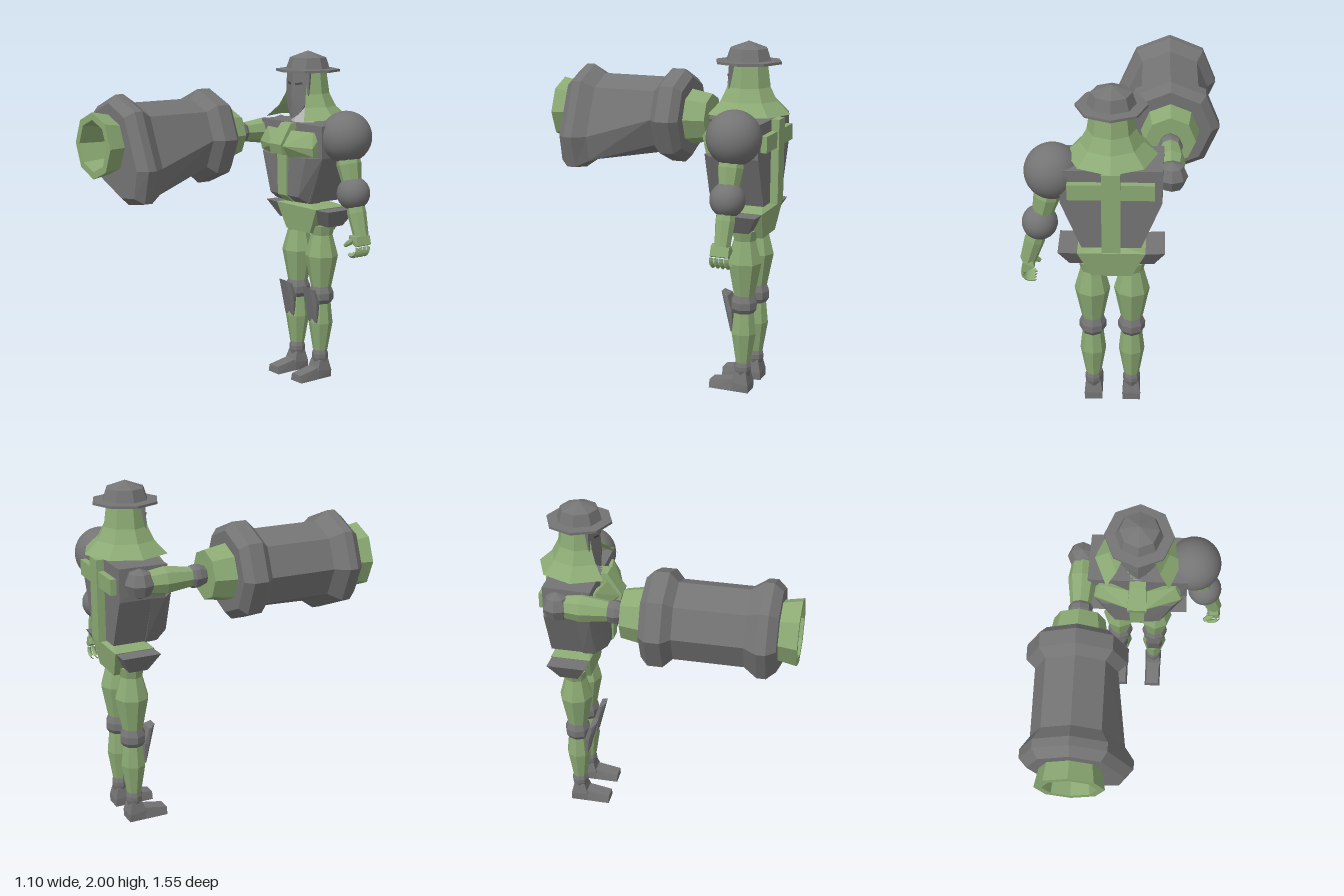
import * as THREE from 'three';
import { ConvexGeometry } from 'three/addons/geometries/ConvexGeometry.js';

const flat = (color, side = THREE.FrontSide) =>
  new THREE.MeshStandardMaterial({ color, flatShading: true, side });
const GREEN = flat(0x8caa74), CLOTH = flat(0x8caa74, THREE.DoubleSide);
const DARK = flat(0x747474), LIGHT = flat(0xcccccc), SLIT = flat(0x4a4a4a);
const SMOOTH = new THREE.MeshStandardMaterial({ color: 0x747474 });
const UP = new THREE.Vector3(0, 1, 0);

function add(parent, name, geometry, material, pos = [0, 0, 0]) {
  const mesh = new THREE.Mesh(geometry, material);
  mesh.name = name;
  mesh.position.set(...pos);
  parent.add(mesh);
  return mesh;
}

// Eight-sided solid of revolution, profile of [radius, height] going upward
const turned = (profile, start = 0, arc = Math.PI * 2, n = 8) =>
  new THREE.LatheGeometry(profile.map(p => new THREE.Vector2(...p)), n, start, arc);

// Turned part between two points, profile of [radius, fraction of the length]
function limb(parent, name, from, to, profile, material) {
  const a = new THREE.Vector3(...from), dir = new THREE.Vector3(...to).sub(a);
  const len = dir.length();
  const closed = [[0, profile[0][1]], ...profile, [0, profile.at(-1)[1]]];
  const mesh = add(parent, name, turned(closed.map(([r, t]) => [r, t * len])), material, from);
  mesh.quaternion.setFromUnitVectors(UP, dir.normalize());
  return mesh;
}

// Convex part from its corners; mirrored corners are added when sym is true
function hull(parent, name, corners, material, sym = false) {
  const pts = corners.map(c => new THREE.Vector3(...c));
  if (sym) corners.forEach(([x, y, z]) => x && pts.push(new THREE.Vector3(-x, y, z)));
  return add(parent, name, new ConvexGeometry(pts), material);
}

function buildHead(body) {
  const head = new THREE.Group();
  head.name = 'head';
  body.add(head);
  const z = -0.535;
  add(head, 'helmet', turned([[0, 1.878], [0.19, 1.878], [0.19, 1.892], [0.13, 1.895],
    [0.108, 1.96], [0, 2]]), DARK, [0, 0, z]);
  // Neck cloth, open at the front
  add(head, 'neckCloth', turned([[0.245, 1.605], [0.17, 1.675], [0.13, 1.75], [0.11, 1.885]],
    Math.PI / 4, Math.PI * 1.5, 6), CLOTH, [0, 0, z]);
  add(head, 'neck', turned([[0, 1.56], [0.082, 1.56], [0.082, 1.7], [0, 1.7]]), LIGHT, [0, 0, -0.52]);
  hull(head, 'faceMask', [[0.105, 1.885, -0.46], [0.103, 1.72, -0.455], [0.045, 1.63, -0.43],
    [0, 1.885, -0.42], [0, 1.72, -0.41], [0, 1.6, -0.415], [0.08, 1.885, -0.5], [0.08, 1.72, -0.5]], DARK, true);
  for (const s of [-1, 1]) {
    const eye = add(head, 'eyeSlit', new THREE.BoxGeometry(0.045, 0.012, 0.02), SLIT, [s * 0.04, 1.81, -0.436]);
    eye.rotation.set(0, s * 0.38, s * 0.15);
  }
}

function buildTorso(body) {
  const torso = new THREE.Group();
  torso.name = 'torso';
  body.add(torso);
  hull(torso, 'ribcage', [[0.28, 1.58, -0.41], [0.27, 1.58, -0.69], [0.27, 1.39, -0.42],
    [0.27, 1.39, -0.69], [0.16, 1.11, -0.42], [0.16, 1.11, -0.69]], DARK, true);
  hull(torso, 'chestStrap', [[0.045, 1.58, -0.37], [0.055, 1.46, -0.285], [0.055, 1.4, -0.3],
    [0.045, 1.58, -0.45], [0.045, 1.38, -0.45]], GREEN, true);
  hull(torso, 'bellyStrap', [[0.045, 1.42, -0.34], [0.04, 1.15, -0.345], [0.04, 1.106, -0.4],
    [0.045, 1.42, -0.45], [0.04, 1.106, -0.45]], GREEN, true);
  for (const s of [-1, 1]) {
    hull(torso, 'chestPlate', [[s * 0.05, 1.54, -0.37], [s * 0.05, 1.45, -0.3], [s * 0.05, 1.38, -0.35],
      [s * 0.05, 1.4, -0.45], [s * 0.21, 1.54, -0.4], [s * 0.245, 1.45, -0.37], [s * 0.24, 1.4, -0.38],
      [s * 0.23, 1.4, -0.45], [s * 0.23, 1.53, -0.45]], GREEN);
    hull(torso, 'bellyPlate', [[s * 0.045, 1.38, -0.355], [s * 0.2, 1.39, -0.355], [s * 0.275, 1.39, -0.42],
      [s * 0.045, 1.39, -0.45], [s * 0.27, 1.39, -0.5], [s * 0.04, 1.15, -0.355], [s * 0.13, 1.15, -0.36],
      [s * 0.04, 1.106, -0.41], [s * 0.16, 1.106, -0.43], [s * 0.165, 1.106, -0.5], [s * 0.04, 1.106, -0.5]], DARK);
  }
  // Raised cross on the back
  add(torso, 'backStrap', new THREE.BoxGeometry(0.1, 0.475, 0.06), GREEN, [0, 1.3425, -0.705]);
  add(torso, 'backBand', new THREE.BoxGeometry(0.46, 0.09, 0.05), GREEN, [0, 1.47, -0.7]);
}

function buildHips(body) {
  const hips = new THREE.Group();
  hips.name = 'hips';
  hips.position.z = -0.572;
  body.add(hips);
  const both = pts => pts.flatMap(([x, y, z]) => [[x, y, z], [x, y, -z]]);
  hull(hips, 'pelvis', both([[0.185, 1.07, 0.117], [0, 1.1, 0.06], [0.11, 0.915, 0.1]]), GREEN, true);
  for (const s of [-1, 1])
    hull(hips, 'hipGuard', both([[s * 0.29, 1.07, 0.113], [s * 0.15, 1.065, 0.113],
      [s * 0.23, 0.965, 0.055], [s * 0.13, 0.965, 0.055]]), DARK);
}

function buildLeg(body, s) {
  const leg = new THREE.Group();
  leg.name = s > 0 ? 'leftLeg' : 'rightLeg';
  leg.position.set(s * 0.11, 0, -0.568);
  body.add(leg);
  const segment = (name, profile, mat) =>
    add(leg, name, turned([[0, profile[0][1]], ...profile, [0, profile.at(-1)[1]]]), mat);
  segment('thigh', [[0.063, 0.58], [0.1, 0.77], [0.065, 0.9], [0.08, 0.96]], GREEN);
  segment('knee', [[0.058, 0.47], [0.077, 0.5], [0.077, 0.54], [0.058, 0.585]], DARK);
  segment('shin', [[0.045, 0.175], [0.074, 0.35], [0.06, 0.475]], GREEN);
  segment('ankle', [[0.04, 0.09], [0.05, 0.125], [0.05, 0.15], [0.04, 0.178]], DARK);
  hull(leg, 'shinGuard', [[0.045, 0.57, 0.1], [0.03, 0.59, 0.125], [0.052, 0.48, 0.08], [0.05, 0.48, 0.055],
    [0.04, 0.36, 0.065], [0.03, 0.345, 0.05], [0.045, 0.57, 0.085]], DARK, true);
  hull(leg, 'footFront', [[0.05, 0, 0.19], [0.04, 0.045, 0.19], [0.04, 0.07, 0.05],
    [0.05, 0, -0.02], [0.04, 0.07, -0.02]], DARK, true);
  hull(leg, 'heel', [[0.05, 0, 0.05], [0.05, 0, -0.048], [0.053, 0.045, -0.048],
    [0.04, 0.12, -0.03], [0.04, 0.115, 0.035], [0.05, 0.055, 0.055]], DARK, true);
}

function buildLeftArm(root) {
  const arm = new THREE.Group();
  arm.name = 'leftArm';
  root.add(arm);
  const z = -0.563;
  add(arm, 'shoulderBall', new THREE.SphereGeometry(0.152, 32, 20), SMOOTH, [0.358, 1.513, z - 0.004]);
  limb(arm, 'upperArm', [0.37, 1.44, z], [0.432, 1.2, z], [[0.06, 0], [0.073, 0.35], [0.05, 1]], GREEN);
  add(arm, 'elbowBall', new THREE.SphereGeometry(0.098, 28, 16), SMOOTH, [0.435, 1.19, z]);
  limb(arm, 'forearm', [0.445, 1.15, z], [0.508, 0.945, z], [[0.05, 0], [0.056, 0.35], [0.045, 1]], GREEN);
  // Curled hand
  hull(arm, 'palm', [-0.61, -0.505].flatMap(w => [[0.48, 0.955, w + 0.01], [0.53, 0.95, w], [0.545, 0.9, w],
    [0.525, 0.89, w], [0.47, 0.92, w]]), GREEN);
  for (let i = 0; i < 4; i++) {
    const finger = add(arm, 'finger', new THREE.TorusGeometry(0.043, 0.013, 4, 6, 2.5), GREEN,
      [0.492, 0.875, -0.597 + i * 0.029]);
    finger.rotation.z = -2.2;
  }
  limb(arm, 'thumb', [0.5, 0.93, -0.51], [0.45, 0.89, -0.49], [[0.016, 0], [0.018, 0.5], [0.012, 1]], GREEN);
}

function buildCannonArm(root) {
  const arm = new THREE.Group();
  arm.name = 'rightCannonArm';
  arm.position.set(-0.268, 1.5, 0);
  root.add(arm);
  add(arm, 'shoulderJoint', new THREE.SphereGeometry(0.086, 8, 4), DARK, [-0.005, 0, -0.59]);
  const along = (name, profile, mat) => add(arm, name, turned(profile).rotateX(Math.PI / 2), mat);
  along('upperArm', [[0, -0.58], [0.06, -0.58], [0.08, -0.45], [0.058, -0.29], [0, -0.29]], GREEN);
  along('elbowJoint', [[0, -0.31], [0.05, -0.31], [0.068, -0.275], [0.068, -0.25], [0.045, -0.19], [0, -0.19]], DARK);
  along('cannonCollar', [[0, -0.205], [0.142, -0.205], [0.168, -0.06], [0, -0.06]], GREEN);
  const barrel = along('cannonBarrel', [[0, -0.078], [0.235, -0.078], [0.28, -0.035], [0.28, 0.05], [0.228, 0.1],
    [0.228, 0.49], [0.28, 0.565], [0.28, 0.615], [0.235, 0.665], [0.15, 0.665]], DARK);
  // The lower inner corner bulges out toward the muzzle
  const p = barrel.geometry.attributes.position;
  const bulge = [[0.055, -0.12], [0.09, -0.11], [0.125, -0.055]];
  for (let i = 0; i < p.count; i++) {
    const x = p.getX(i), y = p.getY(i);
    const k = Math.round(-Math.atan2(y, x) / (Math.PI / 4)) + 0;
    if (Math.hypot(x, y) < 0.2 || !bulge[k]) continue;
    const t = THREE.MathUtils.clamp((p.getZ(i) - 0.1) / 0.39, 0, 1);
    p.setXY(i, x + bulge[k][0] * t, y + bulge[k][1] * t);
  }
  barrel.geometry.computeVertexNormals();
  // Hollow muzzle
  along('muzzle', [[0.165, 0.64], [0.19, 0.77], [0.148, 0.77], [0.1, 0.45], [0, 0.45]], GREEN);
}

export function createModel() {
  const root = new THREE.Group();
  root.name = 'armouredSoldier';
  const body = new THREE.Group();
  body.name = 'body';
  body.position.x = 0.045;
  root.add(body);
  buildHead(body);
  buildTorso(body);
  buildHips(body);
  for (const s of [-1, 1]) buildLeg(body, s);
  buildLeftArm(root);
  buildCannonArm(root);
  return root;
}
